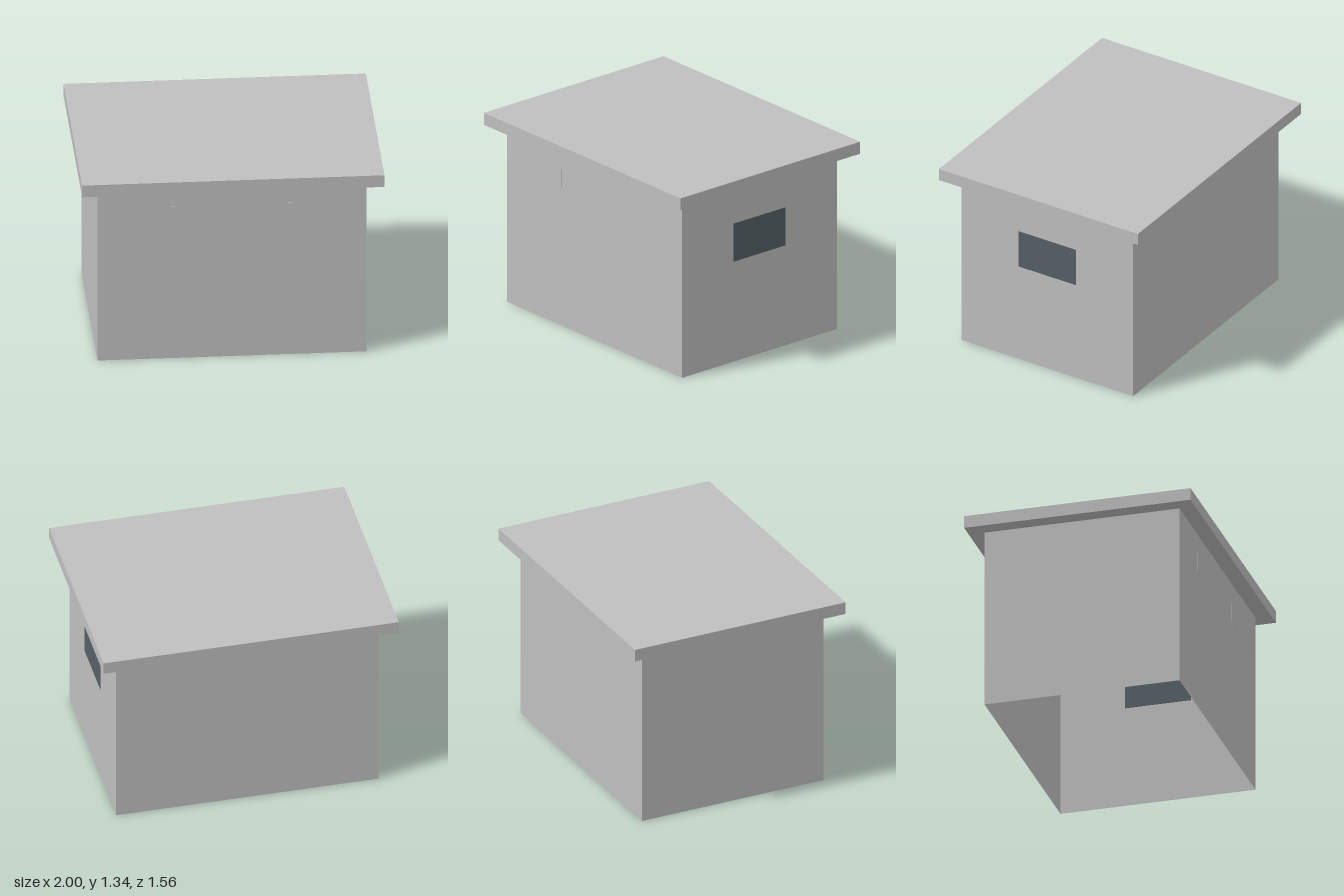
import * as THREE from 'three';

export function createModel() {
  const model = new THREE.Group();
  model.name = 'hut';

  const concrete = new THREE.MeshStandardMaterial({ color: 0xbfbfbf, side: THREE.DoubleSide });
  concrete.name = 'concrete grey';
  const glass = new THREE.MeshStandardMaterial({ color: 0x556066 });
  glass.name = 'dark glass';

  const W = 1.78, D = 1.34, H = 1.25, ROOF = 0.085;

  const add = (name, geometry, material, x, y, z, turn = 0) => {
    const mesh = new THREE.Mesh(geometry, material);
    mesh.name = name;
    mesh.position.set(x, y, z);
    mesh.rotation.y = turn;
    model.add(mesh);
  };

  // Thin walls, open at the bottom
  const longWall = new THREE.PlaneGeometry(W, H);
  const shortWall = new THREE.PlaneGeometry(D, H);
  add('frontWall', longWall, concrete, 0, H / 2, D / 2);
  add('backWall', longWall, concrete, 0, H / 2, -D / 2, Math.PI);
  add('leftWall', shortWall, concrete, W / 2, H / 2, 0, Math.PI / 2);
  add('rightWall', shortWall, concrete, -W / 2, H / 2, 0, -Math.PI / 2);

  // Flat overhanging roof slab
  add('roof', new THREE.BoxGeometry(2, ROOF, 1.556), concrete, 0, H + ROOF / 2, 0);

  // Two square panels high on the front wall
  const panel = new THREE.BoxGeometry(0.135, 0.13, 0.004);
  for (const side of [-1, 1]) add('frontPanel', panel, concrete, side * 0.4, 1.045, D / 2);

  // Side window
  add('window', new THREE.BoxGeometry(0.004, 0.27, 0.45), glass, W / 2, 0.845, 0);

  return model;
}
